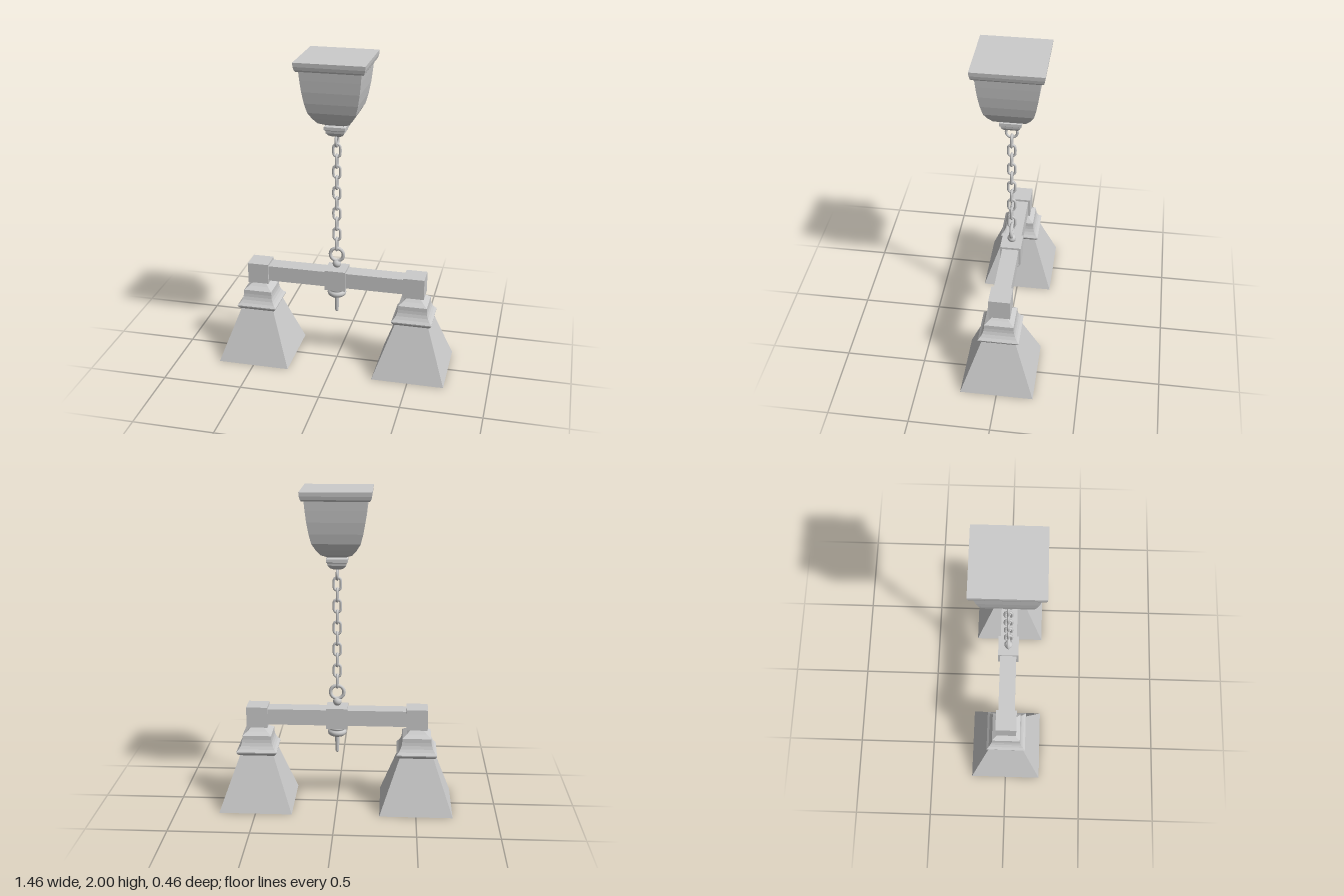
import * as THREE from 'three';

const grey = () => new THREE.MeshStandardMaterial({ color: 0xcccccc });
const smooth = grey();
const faceted = grey();
faceted.flatShading = true;

function add(parent, name, geometry, material, x = 0, y = 0, z = 0) {
  const mesh = new THREE.Mesh(geometry, material);
  mesh.name = name;
  mesh.position.set(x, y, z);
  parent.add(mesh);
  return mesh;
}

// Square-plan turning: profile is [half width, y] from bottom to top
function squareTurning(profile) {
  const points = profile.map(([w, y]) => new THREE.Vector2(w * Math.SQRT2, y));
  return new THREE.LatheGeometry(points, 4).rotateY(Math.PI / 4);
}

function roundTurning(profile) {
  return new THREE.LatheGeometry(profile.map(([r, y]) => new THREE.Vector2(r, y)), 24);
}

// Oval chain link: two half circles joined by straight sides
function linkGeometry(radius, straight, wire) {
  const points = [];
  for (let i = 0; i < 16; i++) {
    const a = ((i + 0.5) / 16) * Math.PI * 2;
    points.push(new THREE.Vector3(
      Math.cos(a) * radius, Math.sin(a) * radius + Math.sign(Math.sin(a)) * straight, 0));
  }
  const path = new THREE.CatmullRomCurve3(points, true);
  return new THREE.TubeGeometry(path, 40, wire, 8, true);
}

export function createModel() {
  const model = new THREE.Group();
  model.name = 'pendantLamp';

  // Ceiling canopy with its flange and lower knob
  add(model, 'canopy', squareTurning([
    [0, 1.59], [0.05, 1.593], [0.095, 1.615], [0.122, 1.65], [0.145, 1.69],
    [0.16, 1.75], [0.172, 1.82], [0.18, 1.89], [0.185, 1.945],
  ]), faceted);
  add(model, 'canopyFlange', squareTurning([
    [0, 1.945], [0.198, 1.945], [0.205, 1.955], [0.21, 1.975], [0.212, 2], [0, 2],
  ]), faceted);
  add(model, 'canopyKnob', squareTurning([
    [0, 1.513], [0.02, 1.515], [0.042, 1.527], [0.056, 1.545], [0.058, 1.56],
    [0.065, 1.565], [0.065, 1.585], [0.05, 1.595], [0, 1.595],
  ]), faceted);

  // Chain hung between two rings
  const upperRing = add(model, 'upperRing', new THREE.TorusGeometry(0.034, 0.008, 10, 32), smooth, 0, 1.485);
  upperRing.rotation.y = Math.PI / 2;
  const chain = new THREE.Group();
  chain.name = 'chain';
  model.add(chain);
  const link = linkGeometry(0.021, 0.019, 0.008);
  for (let i = 0; i < 10; i++) {
    const mesh = add(chain, 'chainLink', link, smooth, 0, 1.423 - i * 0.0685);
    mesh.rotation.y = (i % 2) * Math.PI / 2;
  }
  add(model, 'lowerRing', new THREE.TorusGeometry(0.042, 0.011, 10, 32), smooth, 0, 0.735);
  add(model, 'ringBall', new THREE.SphereGeometry(0.027, 20, 14), smooth, 0, 0.673);

  // Cross bar with centre block and end blocks
  add(model, 'crossBar', new THREE.BoxGeometry(0.9, 0.1, 0.105), faceted, 0, 0.58);
  add(model, 'centreBlock', new THREE.BoxGeometry(0.132, 0.132, 0.132), faceted, 0, 0.578);

  // Turned finial below the centre block
  add(model, 'finialCollar', roundTurning([
    [0, 0.452], [0.045, 0.453], [0.056, 0.462], [0.06, 0.475], [0.056, 0.486],
    [0.048, 0.49], [0.048, 0.494], [0.055, 0.498], [0.055, 0.507], [0.048, 0.513], [0, 0.513],
  ]), smooth);
  add(model, 'finialRod', roundTurning([
    [0, 0.335], [0.008, 0.338], [0.011, 0.345], [0.015, 0.46],
  ]), smooth);

  // Pair of square shades under the end blocks
  const shade = squareTurning([
    [0, 0], [0.2275, 0], [0.104, 0.345], [0, 0.345],
  ]);
  const holder = squareTurning([
    [0, 0.343], [0.112, 0.343], [0.125, 0.36], [0.126, 0.367], [0.112, 0.382],
    [0.101, 0.4], [0.094, 0.42], [0.091, 0.44], [0.09, 0.465], [0.062, 0.485],
    [0.041, 0.505], [0.041, 0.515], [0, 0.515],
  ]);
  for (const side of [-1, 1]) {
    const arm = new THREE.Group();
    arm.name = side > 0 ? 'leftLamp' : 'rightLamp';
    arm.position.x = side * 0.5;
    model.add(arm);
    add(arm, 'endBlock', new THREE.BoxGeometry(0.132, 0.132, 0.132), faceted, 0, 0.578);
    add(arm, 'shadeHolder', holder, faceted);
    add(arm, 'shade', shade, faceted);
  }
  return model;
}
